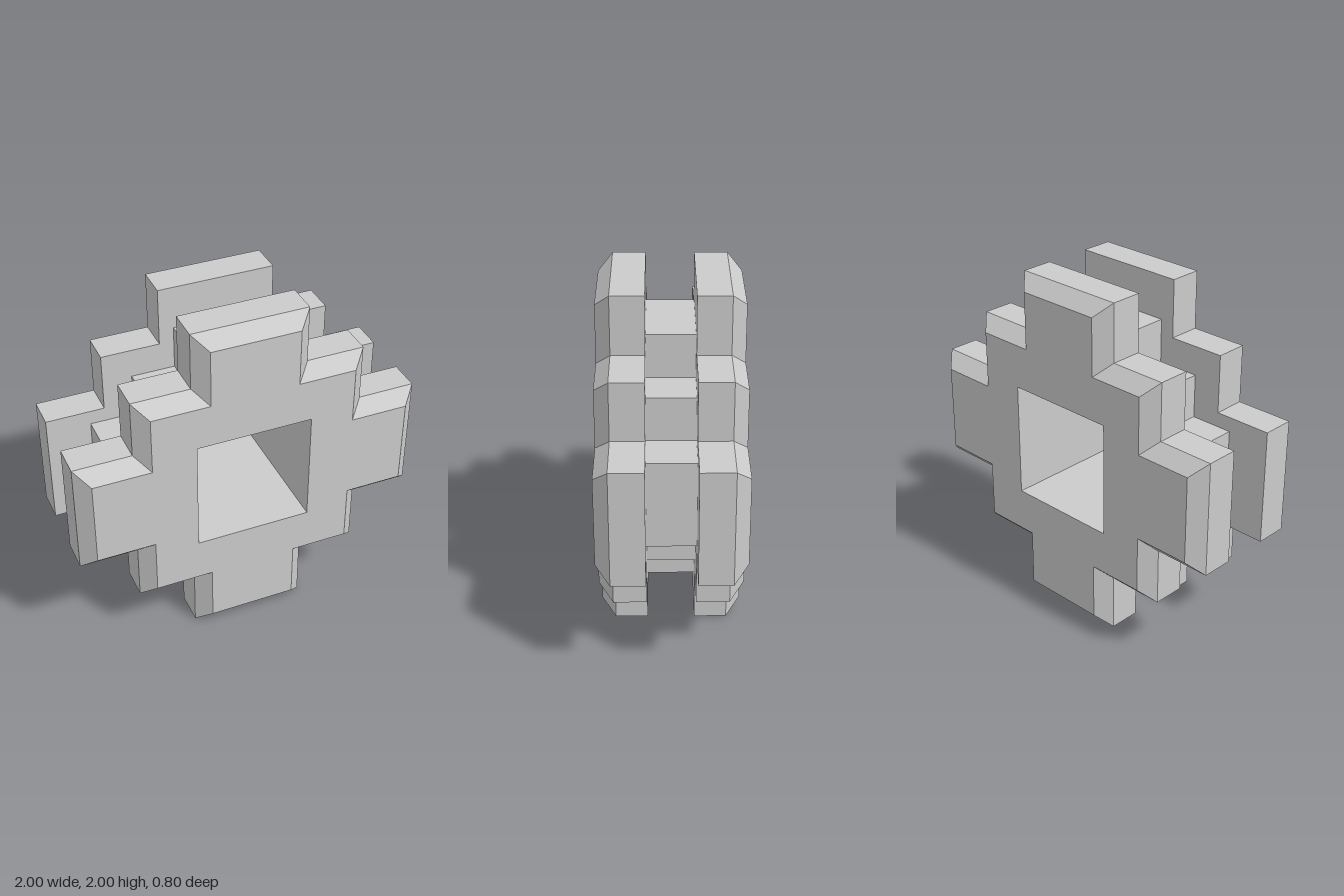
import * as THREE from 'three';

const BEVEL = 0.08, HOLE = 1 / 3;
const Z_CORE = 0.135, Z_EDGE = 0.32, Z_FACE = 0.4;

// Stepped cross, counter-clockwise; a, b, c are the three step distances
function crossPoints(a, b, c) {
  const quarter = [[c, a], [b, a], [b, b], [a, b], [a, c]];
  const points = [];
  for (let q = 0; q < 4; q++) {
    for (const [x, y] of quarter) {
      points.push(new THREE.Vector2(x, y).rotateAround(new THREE.Vector2(), q * Math.PI / 2));
    }
  }
  return points;
}

// Square opening, clockwise so its walls face inward
const holePoints = [[1, 1], [1, -1], [-1, -1], [-1, 1]]
  .map(([x, y]) => new THREE.Vector2(x * HOLE, y * HOLE));

function crossShape(points) {
  const shape = new THREE.Shape(points);
  shape.holes.push(new THREE.Path(holePoints));
  return shape;
}

// Walls between successive rings given as [points, z]
function wallGeometry(rings) {
  const pos = [];
  for (let r = 0; r + 1 < rings.length; r++) {
    const [lo, z0] = rings[r], [hi, z1] = rings[r + 1];
    for (let i = 0; i < lo.length; i++) {
      const j = (i + 1) % lo.length;
      const A = [lo[i].x, lo[i].y, z0], B = [lo[j].x, lo[j].y, z0];
      const C = [hi[j].x, hi[j].y, z1], D = [hi[i].x, hi[i].y, z1];
      pos.push(...A, ...B, ...C, ...A, ...C, ...D);
    }
  }
  const geometry = new THREE.BufferGeometry();
  geometry.setAttribute('position', new THREE.Float32BufferAttribute(pos, 3));
  geometry.computeVertexNormals();
  return geometry;
}

export function createModel() {
  const model = new THREE.Group();
  model.name = 'steppedCross';
  const material = new THREE.MeshStandardMaterial({ color: 0xcccccc, flatShading: true });

  const add = (parent, name, geometry) => {
    const mesh = new THREE.Mesh(geometry, material);
    mesh.name = name;
    parent.add(mesh);
    return mesh;
  };

  const outer = crossPoints(1 / 3, 2 / 3, 1);
  const inset = crossPoints(1 / 3 - BEVEL, 2 / 3 - BEVEL, 1 - BEVEL);

  // Plate with a chamfered outer rim and a plain square opening
  const makePlate = (name) => {
    const plate = new THREE.Group();
    plate.name = name;
    add(plate, 'rim', wallGeometry([[outer, Z_CORE], [outer, Z_EDGE], [inset, Z_FACE]]));
    add(plate, 'openingWalls', wallGeometry([[holePoints, Z_CORE], [holePoints, Z_FACE]]));
    add(plate, 'outerFace', new THREE.ShapeGeometry(crossShape(inset))).position.z = Z_FACE;
    const inner = add(plate, 'innerFace', new THREE.ShapeGeometry(crossShape(outer)));
    inner.rotation.y = Math.PI;
    inner.position.z = Z_CORE;
    plate.position.y = 1;
    model.add(plate);
    return plate;
  };
  makePlate('frontPlate');
  makePlate('backPlate').rotation.y = Math.PI;

  // Smaller cross joining the two plates
  const core = add(model, 'core', new THREE.ExtrudeGeometry(
    crossShape(crossPoints(0.25, 0.5, 0.75)), { depth: 2 * Z_CORE, bevelEnabled: false }));
  core.position.set(0, 1, -Z_CORE);

  return model;
}
